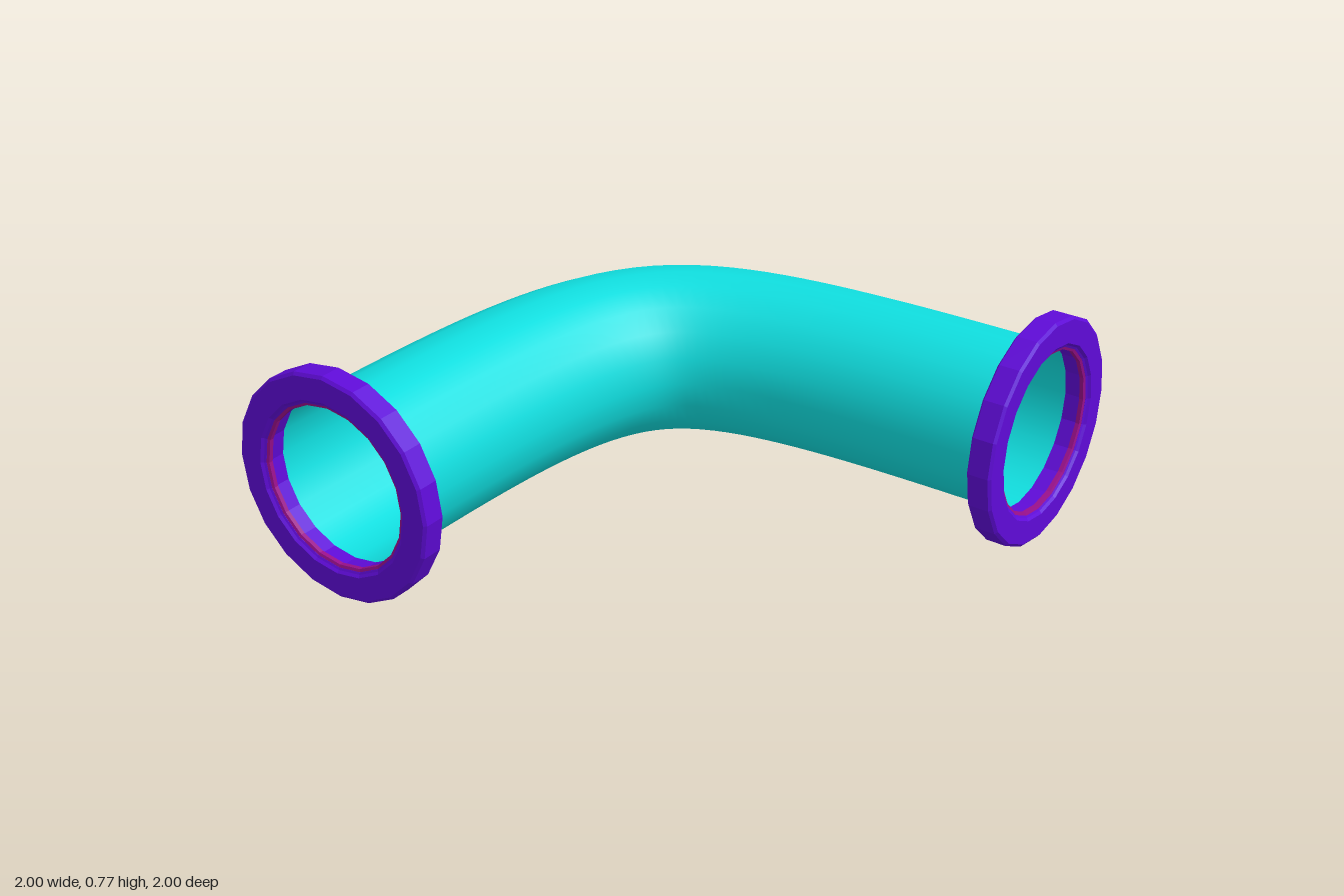
import * as THREE from 'three';

const AXIS = 0.613;   // offset of each pipe mouth's axis
const HEIGHT = 0.387; // height of the pipe's centre line
const SIDES = 20;

const teal = new THREE.MeshStandardMaterial({ color: 0x10dfe0, side: THREE.DoubleSide });
const purple = new THREE.MeshStandardMaterial({ color: 0x5f0bd8 });
const magenta = new THREE.MeshStandardMaterial({ color: 0x9a108c });

// Ring turned around y from a closed [radius, height] profile, every edge kept sharp
function ring(profile, material, name) {
  const points = [...profile, profile[0]].map(([r, y]) => new THREE.Vector2(r, y));
  const geometry = new THREE.LatheGeometry(points, SIDES).toNonIndexed();
  geometry.computeVertexNormals();
  const mesh = new THREE.Mesh(geometry, material);
  mesh.name = name;
  return mesh;
}

// Bevelled collar with a thin seal inside its mouth; the outer face lies at y = 0
function createFlange(name) {
  const group = new THREE.Group();
  group.name = name;
  group.add(ring([
    [0.283, -0.085], [0.377, -0.085], [0.387, -0.077], [0.387, -0.008],
    [0.377, 0], [0.298, 0], [0.29, -0.008], [0.283, -0.012],
  ], purple, name + 'Collar'));
  group.add(ring([
    [0.274, -0.03], [0.284, -0.03], [0.284, -0.012], [0.274, -0.016],
  ], magenta, name + 'Seal'));
  return group;
}

export function createModel() {
  const model = new THREE.Group();
  model.name = 'pipeElbow';

  // Bent pipe, open at both ends
  const path = new THREE.CubicBezierCurve3(
    new THREE.Vector3(-AXIS, HEIGHT, 0.975),
    new THREE.Vector3(-AXIS, HEIGHT, -0.535),
    new THREE.Vector3(-0.535, HEIGHT, -AXIS),
    new THREE.Vector3(0.975, HEIGHT, -AXIS),
  );
  const pipe = new THREE.Mesh(new THREE.TubeGeometry(path, 48, 0.284, SIDES), teal);
  pipe.name = 'pipe';
  model.add(pipe);

  // Flanges at the front and left mouths
  const front = createFlange('frontFlange');
  front.rotation.x = Math.PI / 2;
  front.position.set(-AXIS, HEIGHT, 0.998);
  const left = createFlange('leftFlange');
  left.rotation.z = -Math.PI / 2;
  left.position.set(0.998, HEIGHT, -AXIS);
  model.add(front, left);

  return model;
}
